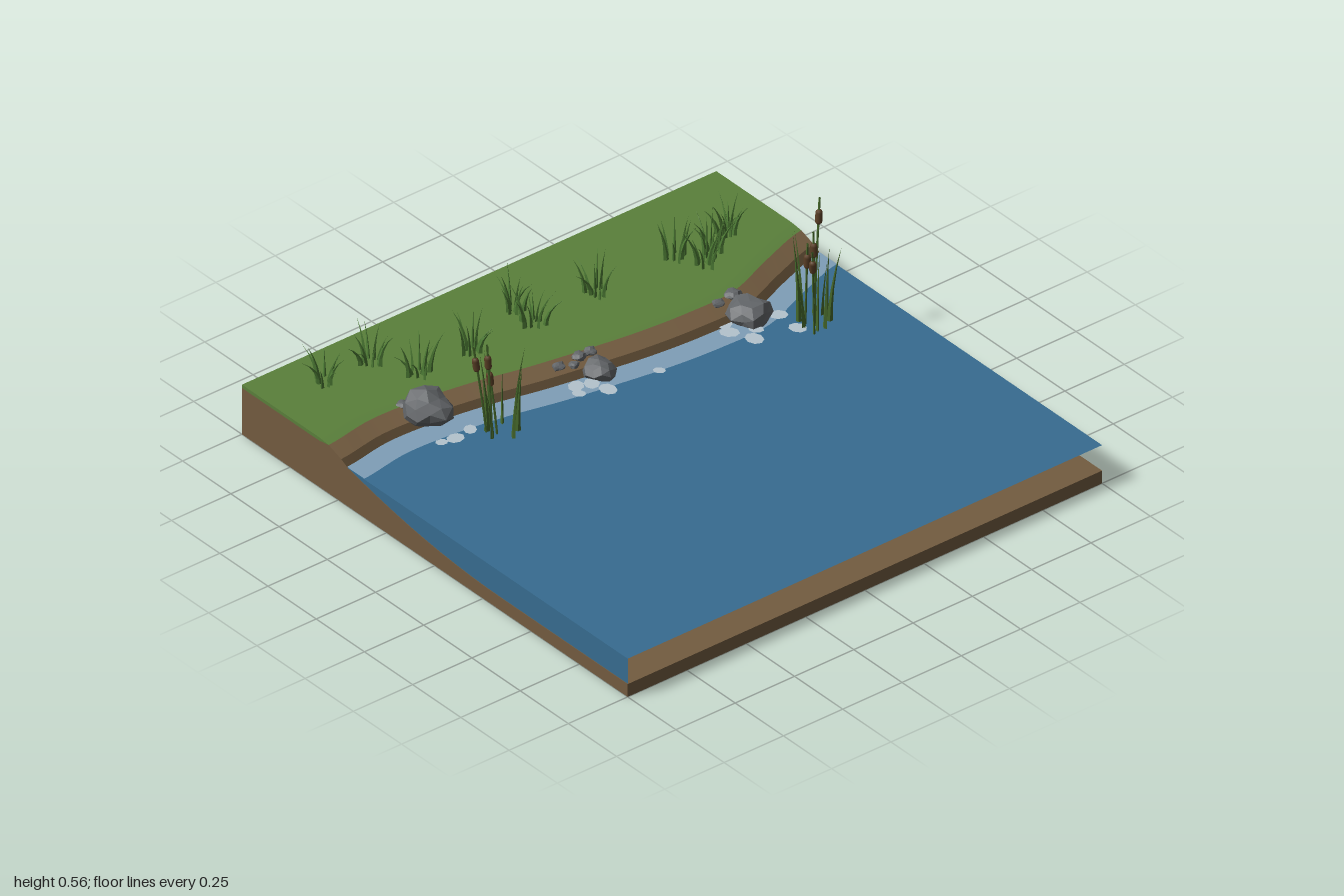
import * as THREE from 'three';

const paint = (name, color) => {
  const m = new THREE.MeshStandardMaterial({ color, side: THREE.DoubleSide });
  m.name = name;
  return m;
};
const flat = (m) => { m.flatShading = true; return m; };
const soil = paint('soil', 0x735c40);
const wetSoil = paint('wet soil', 0x54432d);
const turf = paint('turf', 0x5a803b);
const water = paint('water', 0x376c90);
const shallow = paint('shallow water', 0x7f9fb8);
const foam = paint('foam', 0xb4c3cd);
const stone = flat(paint('stone', 0x636669));
const blade = flat(paint('blade green', 0x4c7a34));
const reed = flat(paint('reed green', 0x486b2c));
const seedHead = paint('seed head brown', 0x5c4027);

// Small seeded random source
let seed = 7;
const rnd = (a = 0, b = 1) => {
  seed = (seed * 16807) % 2147483647;
  return a + (b - a) * seed / 2147483647;
};

// Winding shoreline: z of the water's edge for a given x
const shoreCurve = new THREE.SplineCurve(
  [-0.45, -0.48, -0.47, -0.44, -0.395, -0.36, -0.33, -0.315, -0.32, -0.395, -0.46]
    .map((z, i) => new THREE.Vector2(-1 + i * 0.2, z)));
const shore = (x) => shoreCurve.getPoint((x + 1) / 2).y;
const WATER = 0.15, GROUND = 0.19;

// Lake bed point, t = 0 at the shore and 1 where it becomes level
const bed = (x, t) => {
  const s = shore(x);
  return [x, 0.05 + 0.1 * (1 - t) ** 2, s + t * (0.35 - s)];
};

function mesh(name, geo, mat, parent, pos = [0, 0, 0]) {
  const m = new THREE.Mesh(geo, mat);
  m.name = name;
  m.position.set(...pos);
  parent.add(m);
  return m;
}

// Grid surface from a list of rows, each a list of points
function surface(rows) {
  const n = rows[0].length, index = [];
  for (let j = 0; j < rows.length - 1; j++) {
    for (let i = 0; i < n - 1; i++) {
      const a = j * n + i, b = a + n;
      index.push(a, b, a + 1, a + 1, b, b + 1);
    }
  }
  const g = new THREE.BufferGeometry();
  g.setAttribute('position', new THREE.Float32BufferAttribute(rows.flat(2), 3));
  g.setIndex(index);
  g.computeVertexNormals();
  return g;
}

// Strip running along x, one function per row
const xs = Array.from({ length: 61 }, (_, i) => -1 + i / 30);
const strip = (...fns) => surface(fns.map((f) => xs.map(f)));

function terrain(root) {
  const g = new THREE.Group();
  g.name = 'terrain';
  root.add(g);
  const grassEdge = (x) => [x, GROUND, shore(x) - 0.1];
  const bankFoot = (x) => [x, 0.168, shore(x) - 0.035];
  const steps = Array.from({ length: 11 }, (_, i) => i / 10);
  mesh('grassField', strip((x) => [x, 0.195, -1], (x) => [x, 0.195, shore(x) - 0.15], grassEdge), turf, g);
  mesh('bank', strip(grassEdge, bankFoot), soil, g);
  mesh('wetBank', strip(bankFoot, (x) => bed(x, 0)), wetSoil, g);
  mesh('lakeBed', strip(...steps.map((t) => (x) => bed(x, t)), (x) => [x, 0.05, 1]), soil, g);
  // Outer walls, with a thin turf lip at the back and sides
  mesh('frontWall', strip((x) => [x, 0.05, 1], (x) => [x, 0, 1]), soil, g);
  mesh('backWall', strip((x) => [x, 0, -1], (x) => [x, 0.182, -1]), soil, g);
  mesh('backLip', strip((x) => [x, 0.182, -1], (x) => [x, 0.195, -1]), turf, g);
  for (const x of [-1, 1]) {
    const s = shore(x);
    const top = [[x, 0.182, -1], [x, 0.182, s - 0.15], grassEdge(x), bankFoot(x),
      ...steps.map((t) => bed(x, t)), [x, 0.05, 1]];
    const foot = top.map((p) => [x, 0, p[2]]);
    mesh('sideWall', surface(x < 0 ? [top, foot] : [foot, top]), soil, g);
    const lip = [[x, 0.195, -1], [x, 0.195, s - 0.15], grassEdge(x)];
    const under = [top[0], top[1], grassEdge(x)];
    mesh('sideLip', surface(x < 0 ? [lip, under] : [under, lip]), turf, g);
  }
}

function lake(root) {
  const g = new THREE.Group();
  g.name = 'lake';
  root.add(g);
  mesh('waterSurface', strip((x) => [x, WATER, shore(x)], (x) => [x, WATER, 1]), water, g);
  // Water pane on one side only
  const s = shore(-1), x = -0.998;
  mesh('waterSide', surface([[[x, WATER, s], [x, WATER, 1]], [[x, 0.004, s], [x, 0.004, 1]]]), water, g);
  mesh('shallows', strip((x) => [x, 0.153, shore(x) - 0.005], (x) => [x, 0.153, shore(x) + 0.085]), shallow, g);
  // Foam patches: x, z, radius
  const patches = [[-0.62, -0.36, 0.03], [-0.67, -0.37, 0.02], [-0.55, -0.37, 0.025], [-0.12, -0.35, 0.03],
    [-0.14, -0.31, 0.022], [-0.05, -0.27, 0.032], [-0.07, -0.33, 0.03], [0.15, -0.25, 0.02], [0.47, -0.28, 0.032],
    [0.51, -0.2, 0.033], [0.55, -0.24, 0.025], [0.66, -0.16, 0.03], [0.66, -0.26, 0.03], [0.49, -0.33, 0.03]];
  for (const [px, pz, r] of patches) {
    const c = mesh('foamPatch', new THREE.CircleGeometry(r, 8), foam, g, [px, 0.156, pz]);
    c.rotation.set(-Math.PI / 2, 0, rnd(0, 3));
    c.scale.set(1.1, 0.9, 1);
  }
}

// Faceted stone: an icosahedron whose corners are pushed in and out
function rock(root, x, y, z, rx, ry, rz) {
  const geo = new THREE.IcosahedronGeometry(1, 1), p = geo.attributes.position;
  const v = new THREE.Vector3();
  for (let i = 0; i < p.count; i++) {
    v.fromBufferAttribute(p, i);
    const h = Math.sin(Math.round(v.x * 50) * 1.7 + Math.round(v.y * 50) * 2.9 + Math.round(v.z * 50) * 4.3 + x * 40);
    v.multiplyScalar(0.94 + 0.13 * h);
    p.setXYZ(i, v.x * rx, v.y * ry, v.z * rz);
  }
  geo.computeVertexNormals();
  mesh('rock', geo, stone, root, [x, y, z]);
}

// Tapered blade that bends outward towards its tip
function bentBlade(parent, name, mat, pos, radius, height, lean, angle) {
  const geo = new THREE.ConeGeometry(radius, height, 4, 4).translate(0, height / 2, 0);
  const p = geo.attributes.position;
  for (let i = 0; i < p.count; i++) {
    const t = p.getY(i) / height;
    p.setXYZ(i, p.getX(i) + lean * t * t, p.getY(i) - lean * 0.25 * t * t * t, p.getZ(i) * 0.6);
  }
  geo.computeVertexNormals();
  mesh(name, geo, mat, parent, pos).rotation.y = angle;
}

function grassTuft(root, x, z) {
  const g = new THREE.Group();
  g.name = 'grassTuft';
  g.position.set(x, 0.185, z);
  root.add(g);
  for (let i = 0; i < 9; i++) {
    const a = i * 0.7 + rnd(0, 0.5), r = rnd(0.01, 0.04);
    bentBlade(g, 'grassBlade', blade, [r * Math.cos(a), 0, -r * Math.sin(a)],
      rnd(0.009, 0.012), rnd(0.1, 0.17), rnd(0.02, 0.065), a);
  }
}

// Reed stem from foot to tip with a seed head near the top
function cattail(root, foot, head) {
  const g = new THREE.Group();
  g.name = 'cattail';
  root.add(g);
  const a = new THREE.Vector3(...foot), b = new THREE.Vector3(...head);
  const dir = b.clone().sub(a).normalize();
  const tip = b.clone().addScaledVector(dir, 0.07);
  const mid = a.clone().lerp(b, 0.5).add(new THREE.Vector3((a.x - b.x) * 0.15, 0, (a.z - b.z) * 0.15));
  mesh('stem', new THREE.TubeGeometry(new THREE.QuadraticBezierCurve3(a, mid, tip), 6, 0.004, 5), reed, g);
  const m = mesh('seedHead', new THREE.CapsuleGeometry(0.012, 0.032, 3, 8), seedHead, g, b.toArray());
  m.quaternion.setFromUnitVectors(new THREE.Vector3(0, 1, 0), dir);
}

export function createModel() {
  const root = new THREE.Group();
  root.name = 'lakeshore';
  terrain(root);
  lake(root);

  // Boulders and the pebbles beside them
  rock(root, -0.62, 0.2, -0.51, 0.09, 0.066, 0.095);
  rock(root, -0.015, 0.172, -0.36, 0.055, 0.042, 0.06);
  rock(root, 0.58, 0.172, -0.31, 0.075, 0.055, 0.08);
  for (const [x, z, r] of [[-0.66, -0.585, 0.025], [-0.58, -0.6, 0.024], [-0.12, -0.44, 0.025], [-0.075, -0.415, 0.02],
    [-0.03, -0.445, 0.026], [0.015, -0.445, 0.026], [0.52, -0.4, 0.025], [0.59, -0.41, 0.032]]) {
    rock(root, x, 0.187, z, r, r * 0.6, r * 0.9);
  }

  for (const [x, z] of [[-0.78, -0.84], [-0.59, -0.84], [-0.51, -0.68], [-0.29, -0.68], [-0.04, -0.78],
    [-0.03, -0.68], [0.24, -0.69], [0.57, -0.69], [0.63, -0.6], [0.69, -0.65], [0.8, -0.69]]) grassTuft(root, x, z);

  // Two reed beds
  for (const [foot, head] of [
    [[-0.52, 0.11, -0.29], [-0.54, 0.455, -0.29]], [[-0.51, 0.11, -0.33], [-0.55, 0.425, -0.34]],
    [[-0.49, 0.11, -0.3], [-0.515, 0.37, -0.31]],
    [[0.69, 0.11, -0.11], [0.63, 0.465, -0.045]], [[0.72, 0.11, -0.14], [0.72, 0.44, -0.15]],
    [[0.77, 0.11, -0.21], [0.81, 0.49, -0.235]], [[0.7, 0.11, -0.17], [0.7, 0.4, -0.16]]]) cattail(root, foot, head);
  for (const [cx, cz, n] of [[-0.47, -0.3, 7], [0.73, -0.16, 9]]) {
    for (let i = 0; i < n; i++) {
      const a = i * 2.4;
      bentBlade(root, 'reedLeaf', reed, [cx + 0.05 * Math.cos(a), 0.11, cz - 0.05 * Math.sin(a)],
        0.011, rnd(0.22, 0.42), rnd(0.01, 0.05), a);
    }
  }
  return root;
}
